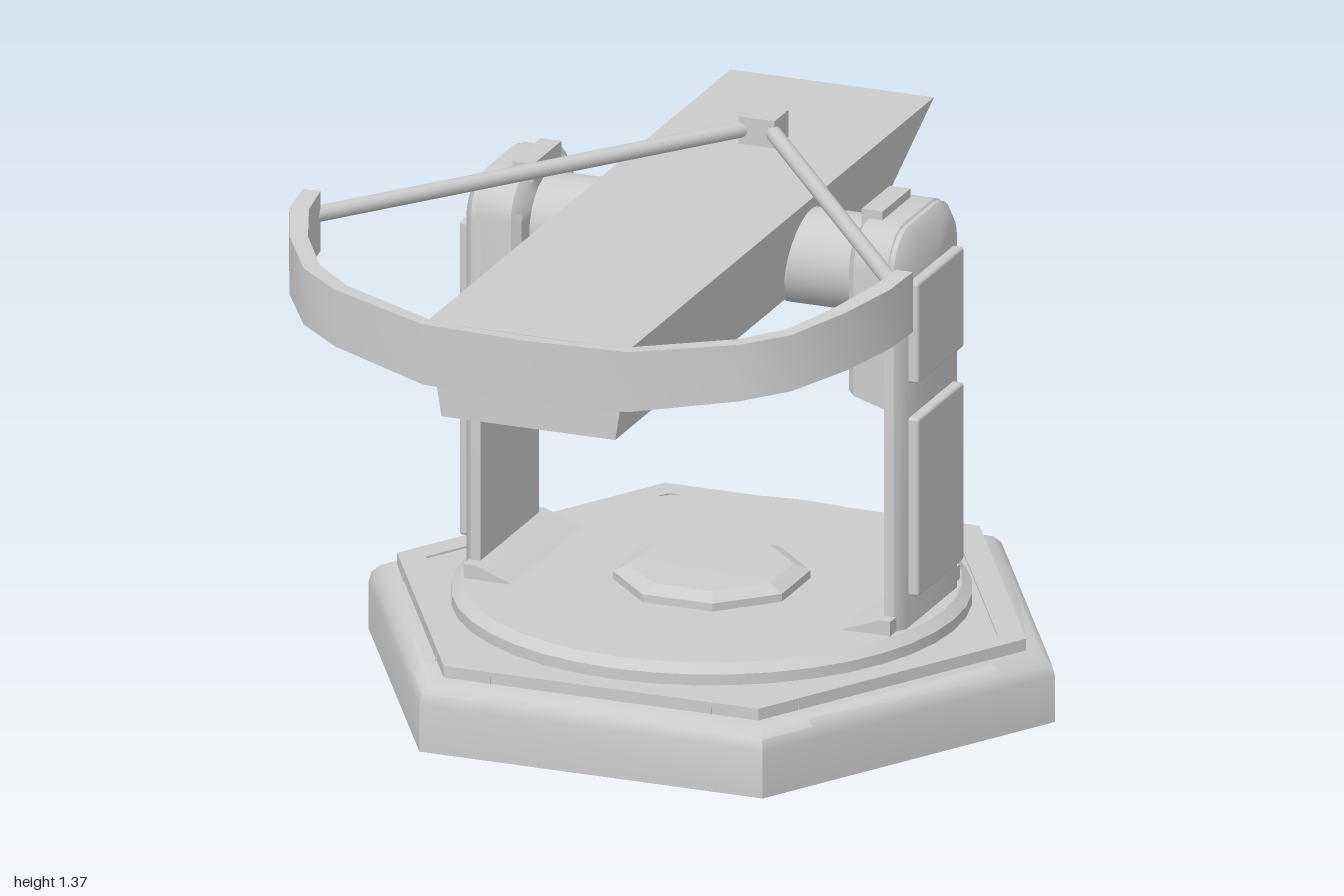
import * as THREE from 'three';
import { toCreasedNormals, mergeVertices } from 'three/addons/utils/BufferGeometryUtils.js';
import { RoundedBoxGeometry } from 'three/addons/geometries/RoundedBoxGeometry.js';

const grey = new THREE.MeshStandardMaterial({ color: 0xcccccc });
const CZ = -0.22; // z of the turntable axis
const COS30 = Math.cos(Math.PI / 6);

function add(parent, name, geometry, x = 0, y = 0, z = 0) {
  const mesh = new THREE.Mesh(geometry, grey);
  mesh.name = name;
  mesh.position.set(x, y, z);
  parent.add(mesh);
  return mesh;
}

// Closed solid through a row of matching cross-section loops, always facing outward
function loft(loops, crease = 0.75) {
  const n = loops[0].length, pos = loops.flat(2), tris = [];
  loops.slice(1).forEach((_, i) => {
    for (let j = 0; j < n; j++) {
      const a = i * n + j, b = i * n + (j + 1) % n;
      tris.push([a, b, b + n], [a, b + n, a + n]);
    }
  });
  [0, loops.length - 1].forEach((row) => {
    const centre = pos.length / 3;
    for (let k = 0; k < 3; k++) pos.push(loops[row].reduce((s, p) => s + p[k], 0) / n);
    for (let j = 0; j < n; j++) {
      const a = row * n + j, b = row * n + (j + 1) % n;
      tris.push(row ? [a, b, centre] : [b, a, centre]);
    }
  });
  const v = (i) => new THREE.Vector3().fromArray(pos, i * 3);
  const volume = tris.reduce((s, [a, b, c]) => s + v(a).dot(v(b).cross(v(c))), 0);
  const geo = new THREE.BufferGeometry();
  geo.setAttribute('position', new THREE.Float32BufferAttribute(pos, 3));
  geo.setIndex(tris.flatMap(([a, b, c]) => (volume > 0 ? [a, b, c] : [a, c, b])));
  return toCreasedNormals(geo, crease);
}

function lathe(points, sides, start = 0, crease = 0.6) {
  const geo = new THREE.LatheGeometry(points.map(([r, y]) => new THREE.Vector2(r, y)), sides, start);
  geo.deleteAttribute('uv');
  geo.deleteAttribute('normal');
  return toCreasedNormals(mergeVertices(geo), crease);
}

// Upright cross-section with a rounded top, in the z-y plane at a given x
function arch(x, half, bottom, top, r) {
  const loop = [[x, bottom, CZ - half], [x, bottom, CZ + half]];
  for (const side of [0, 1]) {
    for (let i = 0; i <= 6; i++) {
      const a = (side + i / 6) * Math.PI / 2;
      loop.push([x, top - r + r * Math.sin(a), CZ + (side ? -1 : 1) * (half - r) + r * Math.cos(a)]);
    }
  }
  return loop;
}

function rod(parent, name, from, to, radius) {
  const a = new THREE.Vector3(...from), b = new THREE.Vector3(...to), d = b.clone().sub(a);
  const mesh = add(parent, name, new THREE.CylinderGeometry(radius, radius, d.length(), 12));
  mesh.position.copy(a).add(b).multiplyScalar(0.5);
  mesh.quaternion.setFromUnitVectors(new THREE.Vector3(0, 1, 0), d.normalize());
}

function buildBase() {
  const base = new THREE.Group();
  base.name = 'base';
  base.position.z = CZ;

  // Lower hexagon with a round recess underneath
  const hex = new THREE.Shape();
  for (let i = 0; i < 6; i++) {
    const a = i * Math.PI / 3, r = 0.755 / COS30;
    hex[i ? 'lineTo' : 'moveTo'](r * Math.cos(a), r * Math.sin(a));
  }
  hex.closePath();
  hex.holes.push(new THREE.Path().absarc(0, 0, 0.635, 0, Math.PI * 2, true));
  const lower = new THREE.ExtrudeGeometry(hex, { depth: 0.1, bevelEnabled: false, curveSegments: 20 });
  add(base, 'lowerFrame', toCreasedNormals(lower.rotateX(-Math.PI / 2), 0.5));
  add(base, 'recessPlug', new THREE.CylinderGeometry(0.55, 0.55, 0.08, 40), 0, 0.07, 0);

  // Rounded rails and raised deck
  const deck = [[0, 0.1], [0.755, 0.1], [0.75, 0.13], [0.733, 0.152], [0.7, 0.165], [0.685, 0.165], [0.685, 0.2], [0, 0.2]];
  add(base, 'deck', lathe(deck.map(([p, y]) => [p / COS30, y]), 6, Math.PI / 6, 0.7));

  // Six corner guards, each bent round its corner
  const guard = [[0.65, 0], [0.78, 0], [0.78, 0.12], [0.773, 0.148], [0.752, 0.168], [0.715, 0.175], [0.715, 0.205], [0.65, 0.205]];
  for (let i = 0; i < 6; i++) {
    const a = i * Math.PI / 3;
    const end = (s) => guard.map(([p, y]) => {
      const n = a + s * Math.PI / 6, t = -s * 0.29;
      return [p * Math.cos(n) + t * Math.sin(n), y, p * Math.sin(n) - t * Math.cos(n)];
    });
    const mid = guard.map(([p, y]) => [p / COS30 * Math.cos(a), y, p / COS30 * Math.sin(a)]);
    add(base, 'cornerGuard', loft([end(-1), mid, end(1)]));
  }

  add(base, 'turntable', lathe([[0.635, 0.2], [0.635, 0.228], [0.61, 0.25], [0, 0.25]], 40));
  add(base, 'centreBoss', lathe([[0.24, 0.25], [0.24, 0.27], [0.2, 0.288], [0, 0.292]], 8, Math.PI / 8, 0.1));
  return base;
}

function buildColumn(s) {
  const column = new THREE.Group();
  column.name = s > 0 ? 'leftColumn' : 'rightColumn';
  add(column, 'upright', loft([
    arch(s * 0.53, 0.19, 0.25, 1.265, 0.1),
    arch(s * 0.555, 0.19, 0.25, 1.265, 0.1),
    arch(s * 0.577, 0.165, 0.25, 1.24, 0.085),
  ]));
  add(column, 'head', loft([
    arch(s * 0.43, 0.17, 0.85, 1.25, 0.09),
    arch(s * 0.45, 0.19, 0.844, 1.27, 0.1),
    arch(s * 0.54, 0.19, 0.817, 1.27, 0.1),
    arch(s * 0.572, 0.155, 0.817, 1.235, 0.08),
  ]));
  add(column, 'topTab', new THREE.BoxGeometry(0.055, 0.06, 0.18), s * 0.458, 1.262, CZ);
  add(column, 'upperPanel', new RoundedBoxGeometry(0.05, 0.26, 0.296, 2, 0.008), s * 0.578, 1.01, CZ);
  add(column, 'lowerPanel', new RoundedBoxGeometry(0.05, 0.46, 0.296, 2, 0.008), s * 0.578, 0.56, CZ);
  // Sloping foot on the turntable
  const foot = [[0.42, 0.245], [0.56, 0.245], [0.56, 0.287], [0.53, 0.287]];
  add(column, 'foot', loft([-0.225, 0.225].map((z) => foot.map(([x, y]) => [s * x, y, CZ + z]))));
  const hub = add(column, 'hub', new THREE.CylinderGeometry(0.12, 0.12, 0.23, 24), s * 0.335, 1.12, CZ);
  hub.rotation.z = Math.PI / 2;
  return column;
}

function buildDish() {
  const dish = new THREE.Group();
  dish.name = 'dish';
  // Tapered beam with a raked back end
  add(dish, 'beam', loft([[0.965, 0.965], [-1, -0.7]].map(([zTop, zBottom]) => [
    [-0.267, 1.27, zTop], [0.267, 1.27, zTop], [0.228, 1.03, zBottom], [-0.228, 1.03, zBottom],
  ])));

  // Curved band: outer x, outer z, inner x, inner z, bottom y, top y
  const half = [
    [0.8, 0.45, 0.755, 0.45, 1.215, 1.37], [0.788, 0.57, 0.74, 0.56, 1.21, 1.362],
    [0.73, 0.71, 0.69, 0.69, 1.192, 1.342], [0.64, 0.84, 0.615, 0.8, 1.17, 1.315],
    [0.53, 0.91, 0.515, 0.87, 1.152, 1.298], [0.27, 0.988, 0.265, 0.95, 1.115, 1.27],
  ];
  const section = (s) => ([x, z, u, w, lo, hi]) => [[s * x, lo, z], [s * x, hi, z], [s * u, hi, w], [s * u, lo, w]];
  add(dish, 'reflectorBand', loft([
    ...half.map(section(1)),
    section(1)([0, 1, 0, 0.96, 1.105, 1.268]),
    ...half.slice().reverse().map(section(-1)),
  ]));

  add(dish, 'feedBox', new THREE.BoxGeometry(0.095, 0.075, 0.09), 0, 1.303, -0.555);
  for (const s of [1, -1]) rod(dish, 'strut', [s * 0.777, 1.308, 0.46], [s * 0.03, 1.305, -0.535], 0.02);
  return dish;
}

export function createModel() {
  const model = new THREE.Group();
  model.name = 'dishAntenna';
  model.add(buildBase(), buildColumn(1), buildColumn(-1), buildDish());
  return model;
}
